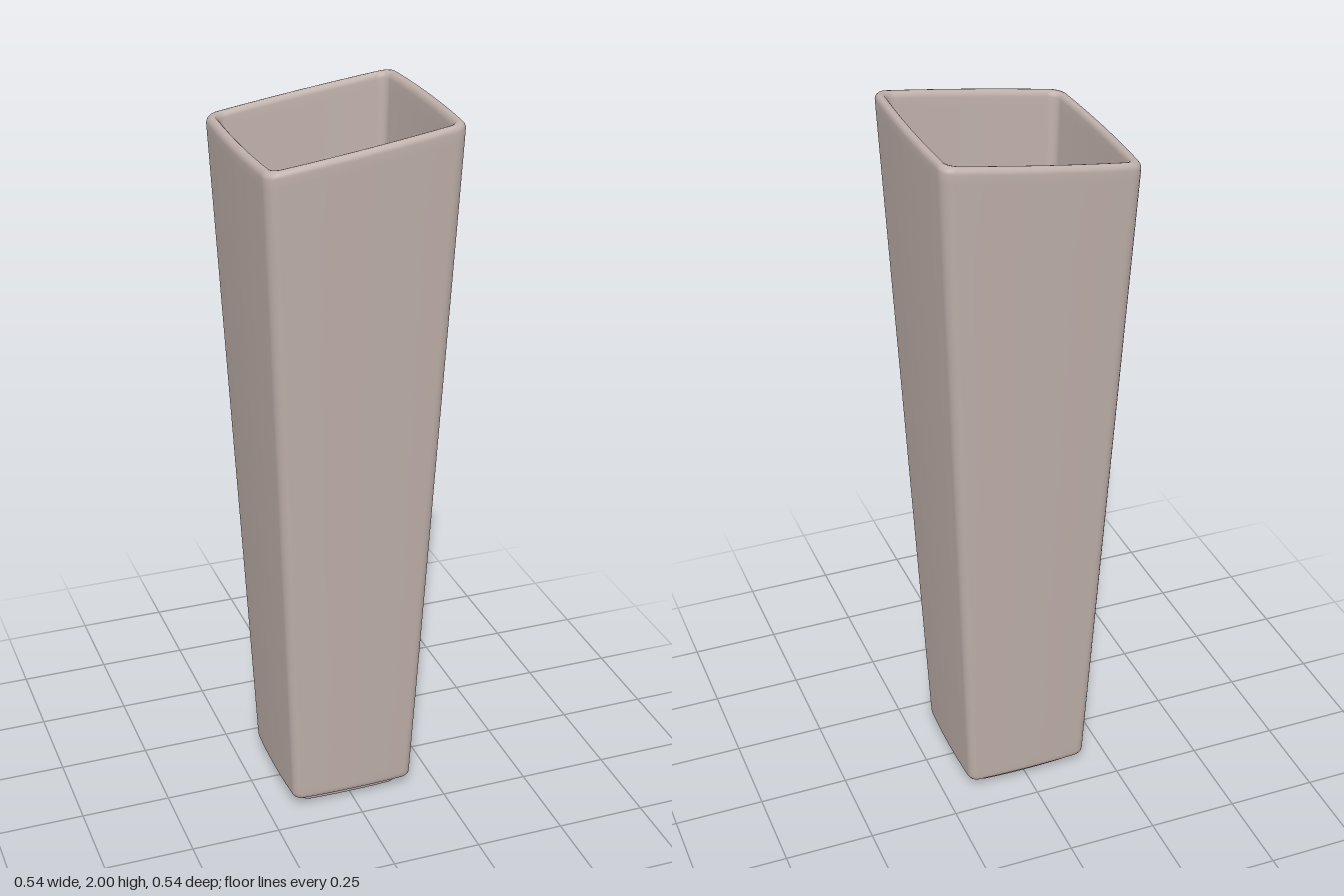
import * as THREE from 'three';

// Rounded-square ring with slightly bowed sides: list of [x, z]
function ring(half, radius) {
  const pts = [], arc = 6, side = 6;
  const r = Math.min(radius, half), bow = half * 0.025;
  const h = half - bow, flat = h - Math.min(r, h);
  const rr = h - flat;
  for (let q = 0; q < 4; q++) {
    const c = Math.round(Math.cos(q * Math.PI / 2)), s = Math.round(Math.sin(q * Math.PI / 2));
    const add = (u, v) => pts.push([u * c - v * s, u * s + v * c]);
    for (let i = 0; i < side; i++) {
      const t = -1 + 2 * i / side;
      add(h + bow * (1 - t * t), flat * t);
    }
    for (let i = 0; i < arc; i++) {
      const a = i / arc * Math.PI / 2;
      add(flat + rr * Math.cos(a), flat + rr * Math.sin(a));
    }
  }
  return pts;
}

// Skin a profile of [half width, height, corner radius]; heights lean up towards +x
function loft(profile) {
  const pos = [], idx = [];
  let n = 0;
  for (const [half, y, r] of profile) {
    const pts = ring(half, r);
    n = pts.length;
    for (const [x, z] of pts) pos.push(x, y * (1 + 0.072 * x * Math.min(1, y)), z);
  }
  for (let i = 0; i < profile.length - 1; i++) {
    for (let j = 0; j < n; j++) {
      const a = i * n + j, b = i * n + (j + 1) % n, c = a + n, d = b + n;
      idx.push(a, c, b, b, c, d);
    }
  }
  const g = new THREE.BufferGeometry();
  g.setAttribute('position', new THREE.Float32BufferAttribute(pos, 3));
  g.setIndex(idx);
  g.computeVertexNormals();
  return g;
}

// Straight tapering wall between two profile points
function wall(from, to, steps) {
  return Array.from({ length: steps + 1 }, (_, i) =>
    from.map((v, k) => v + (to[k] - v) * i / steps));
}

export function createModel() {
  const group = new THREE.Group();
  const ceramic = new THREE.MeshStandardMaterial({ color: 0xbfb0aa });
  ceramic.name = 'warm grey ceramic';

  const add = (name, profile) => {
    const mesh = new THREE.Mesh(loft(profile), ceramic);
    mesh.name = name;
    group.add(mesh);
  };

  // Foot with recessed underside, running up to the body's underside
  add('foot', [
    [0.001, 0.02, 0.02], [0.11, 0.02, 0.02], [0.118, 0.018, 0.02],
    [0.122, 0.004, 0.02], [0.126, 0, 0.02], [0.142, 0, 0.025],
    [0.147, 0.003, 0.025], [0.149, 0.008, 0.025], [0.15, 0.024, 0.025], [0.153, 0.03, 0.025],
  ]);

  // Outer wall, rounded rim, inner wall and floor
  add('vaseBody', [
    [0.15, 0.029, 0.025], [0.17, 0.03, 0.025], [0.177, 0.033, 0.025],
    [0.181, 0.04, 0.025], [0.182, 0.05, 0.025],
    ...wall([0.183, 0.07, 0.025], [0.268, 1.92, 0.035], 10),
    [0.269, 1.945, 0.035], [0.267, 1.954, 0.035], [0.262, 1.96, 0.034],
    [0.255, 1.962, 0.032], [0.249, 1.96, 0.03], [0.244, 1.954, 0.028], [0.242, 1.945, 0.026],
    ...wall([0.241, 1.92, 0.026], [0.162, 0.12, 0.02], 10),
    [0.16, 0.085, 0.02], [0.156, 0.075, 0.02], [0.148, 0.07, 0.02],
    [0.13, 0.068, 0.02], [0.001, 0.068, 0.02],
  ]);

  return group;
}
